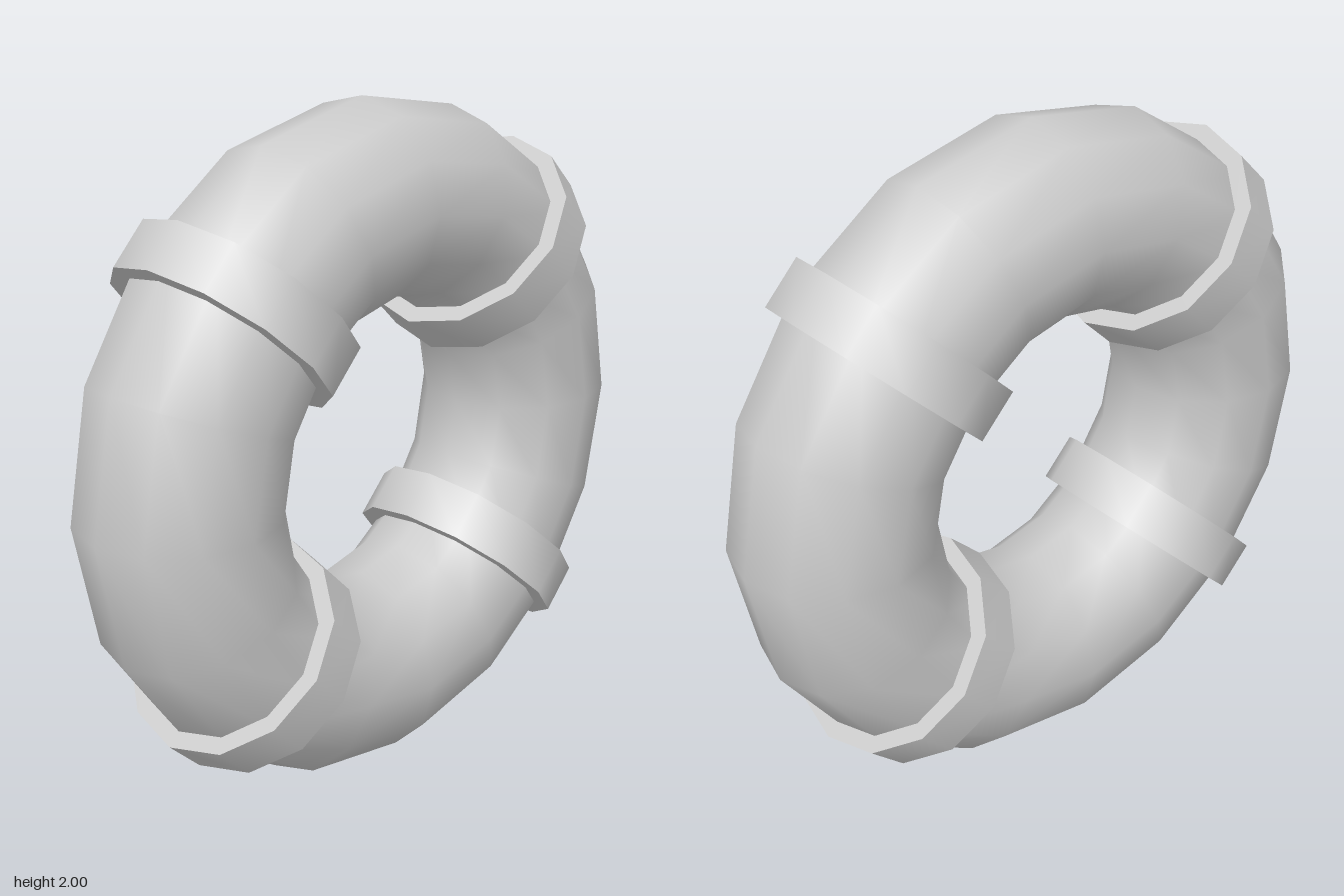
import * as THREE from 'three';
import { toCreasedNormals } from 'three/addons/utils/BufferGeometryUtils.js';

export function createModel() {
  const model = new THREE.Group();
  const material = new THREE.MeshStandardMaterial({ color: 0xcccccc });

  // Upright ring with its hole facing sideways
  const ring = new THREE.Mesh(new THREE.TorusGeometry(0.715, 0.285, 12, 16), material);
  ring.name = 'ring';
  ring.rotation.y = Math.PI / 2;
  ring.position.y = 1;
  model.add(ring);

  // Hollow collar with a rectangular section
  const inner = 0.285, outer = 0.335, half = 0.075;
  const profile = [
    [inner, -half], [outer, -half], [outer, half], [inner, half], [inner, -half],
  ].map(([r, y]) => new THREE.Vector2(r, y));
  const bandGeometry = toCreasedNormals(new THREE.LatheGeometry(profile, 12), 0.9);

  // Four collars on the diagonals, wrapped around the tube
  const names = ['bandLowerFront', 'bandLowerBack', 'bandUpperBack', 'bandUpperFront'];
  names.forEach((name, i) => {
    const a = Math.PI / 4 + i * Math.PI / 2;
    const band = new THREE.Mesh(bandGeometry, material);
    band.name = name;
    band.rotation.x = a;
    band.position.set(0, 1 - 0.7 * Math.sin(a), 0.7 * Math.cos(a));
    model.add(band);
  });

  return model;
}
